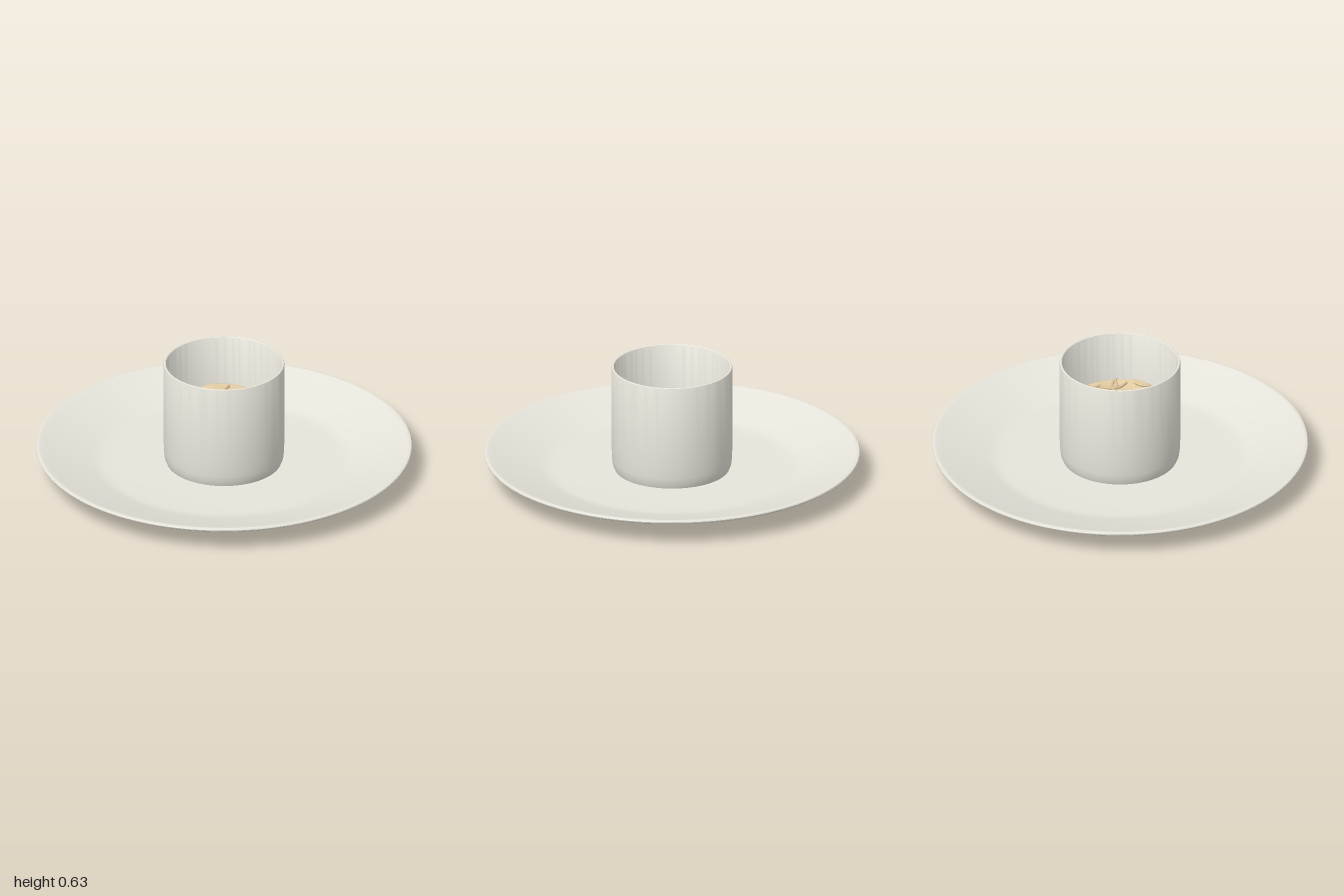
import * as THREE from 'three';
import { toCreasedNormals } from 'three/addons/utils/BufferGeometryUtils.js';

const material = (name, color) => {
  const m = new THREE.MeshStandardMaterial({ color });
  m.name = name;
  return m;
};

// Turned solid from [radius, height] pairs, with crisp edges kept sharp
function turned(name, profile, mat, segments = 128) {
  const points = profile.map(([r, y]) => new THREE.Vector2(r, y));
  const mesh = new THREE.Mesh(toCreasedNormals(new THREE.LatheGeometry(points, segments), 0.6), mat);
  mesh.name = name;
  return mesh;
}

// Gently wrinkled top of the filling, sinking at the wall
function fillingHeight(x, z) {
  const r = Math.hypot(x, z);
  const wrinkles = 0.004 * Math.sin(17 * x + 9 * z + 2 * Math.sin(11 * z))
    + 0.003 * Math.sin(31 * z - 13 * x + 1.5 * Math.sin(19 * x));
  const edge = THREE.MathUtils.smoothstep(r, 0.262, 0.306);
  return 0.368 + wrinkles - 0.05 * edge * edge;
}

function createFilling(mat) {
  const rings = 36;
  const points = [];
  for (let i = 0; i <= rings; i++) points.push(new THREE.Vector2(0.306 * (1 - i / rings), 0));
  const geometry = new THREE.LatheGeometry(points, 96);
  const p = geometry.attributes.position;
  for (let i = 0; i < p.count; i++) p.setY(i, fillingHeight(p.getX(i), p.getZ(i)));
  geometry.computeVertexNormals();
  const mesh = new THREE.Mesh(geometry, mat);
  mesh.name = 'filling';
  return mesh;
}

// Ends of each shred in hundredths: x1, z1, x2, z2
const SHREDS = [
  [-6, -23, -8, -11], [-23, -11, -11, -9], [-9, -11, 3, -8], [5, -17, 1, -7],
  [-13, -2, -5, -10], [9, -25, 19, -17], [14, -13, 23, -10], [9, -4, 9, 7],
  [14, -14, 20, -5], [22, -11, 14, 0], [11, 2, 24, 4], [18, -5, 20, 10],
  [20, 5, 28, 7], [-25, 3, -21, 11], [-21, 11, -12, 12], [-18, 2, -12, 7],
  [-19, 8, -16, 20], [-14, 6, -17, 20], [-8, 0, -10, 13], [-12, 10, 0, 10],
  [-6, 13, 0, 25], [3, 16, 10, 21], [14, 21, 18, 14], [-24, 14, -12, 16],
  [-5, 4, -8, 11], [-7, 21, -1, 23], [-14, -8, -5, -2], [-5, -13, 3, -2],
];

// Slightly bent strand lying on the filling, closed at both ends
function createShred([x1, z1, x2, z2], index, mat) {
  const group = new THREE.Group();
  group.name = 'shred';
  const bend = (index % 2 ? 1 : -1) * (0.08 + 0.04 * (index % 3));
  const path = [0, 0.33, 0.67, 1].map((t) => {
    const b = bend * 4 * t * (1 - t);
    const x = (x1 + (x2 - x1) * t - (z2 - z1) * b) / 100;
    const z = (z1 + (z2 - z1) * t + (x2 - x1) * b) / 100;
    return new THREE.Vector3(x, fillingHeight(x, z) + 0.005 + 0.002 * (index % 3), z);
  });
  group.add(new THREE.Mesh(new THREE.TubeGeometry(new THREE.CatmullRomCurve3(path), 12, 0.0075, 8), mat));
  for (const end of [path[0], path[3]]) {
    const cap = new THREE.Mesh(new THREE.SphereGeometry(0.0075, 8, 6), mat);
    cap.position.copy(end);
    group.add(cap);
  }
  return group;
}

export function createModel() {
  const ceramic = material('ceramic', 0xe6e4da);
  const cream = material('filling cream', 0xecd4aa);
  const shredColor = material('shred tan', 0xdcc49c);
  const model = new THREE.Group();
  model.name = 'cupOnPlate';

  // Wide plate with a flat foot, sloping flange and rounded lip
  model.add(turned('plate', [
    [0, 0], [0.5, 0], [0.55, 0.002], [0.97, 0.118], [0.99, 0.124], [0.998, 0.13], [1, 0.136],
    [0.997, 0.142], [0.988, 0.145], [0.978, 0.143], [0.95, 0.134],
    [0.7, 0.061], [0.67, 0.054], [0.64, 0.051], [0.6, 0.05], [0, 0.05],
  ], ceramic));

  // Straight hollow cup with a thin wall and slightly drawn-in foot
  model.add(turned('cup', [
    [0, 0.05], [0.305, 0.05], [0.315, 0.075], [0.319, 0.11], [0.321, 0.17], [0.321, 0.622],
    [0.319, 0.627], [0.314, 0.629], [0.309, 0.627], [0.306, 0.622], [0.306, 0.09], [0, 0.09],
  ], ceramic));

  model.add(createFilling(cream));
  const shreds = new THREE.Group();
  shreds.name = 'shreds';
  SHREDS.forEach((ends, i) => shreds.add(createShred(ends, i, shredColor)));
  model.add(shreds);
  return model;
}
